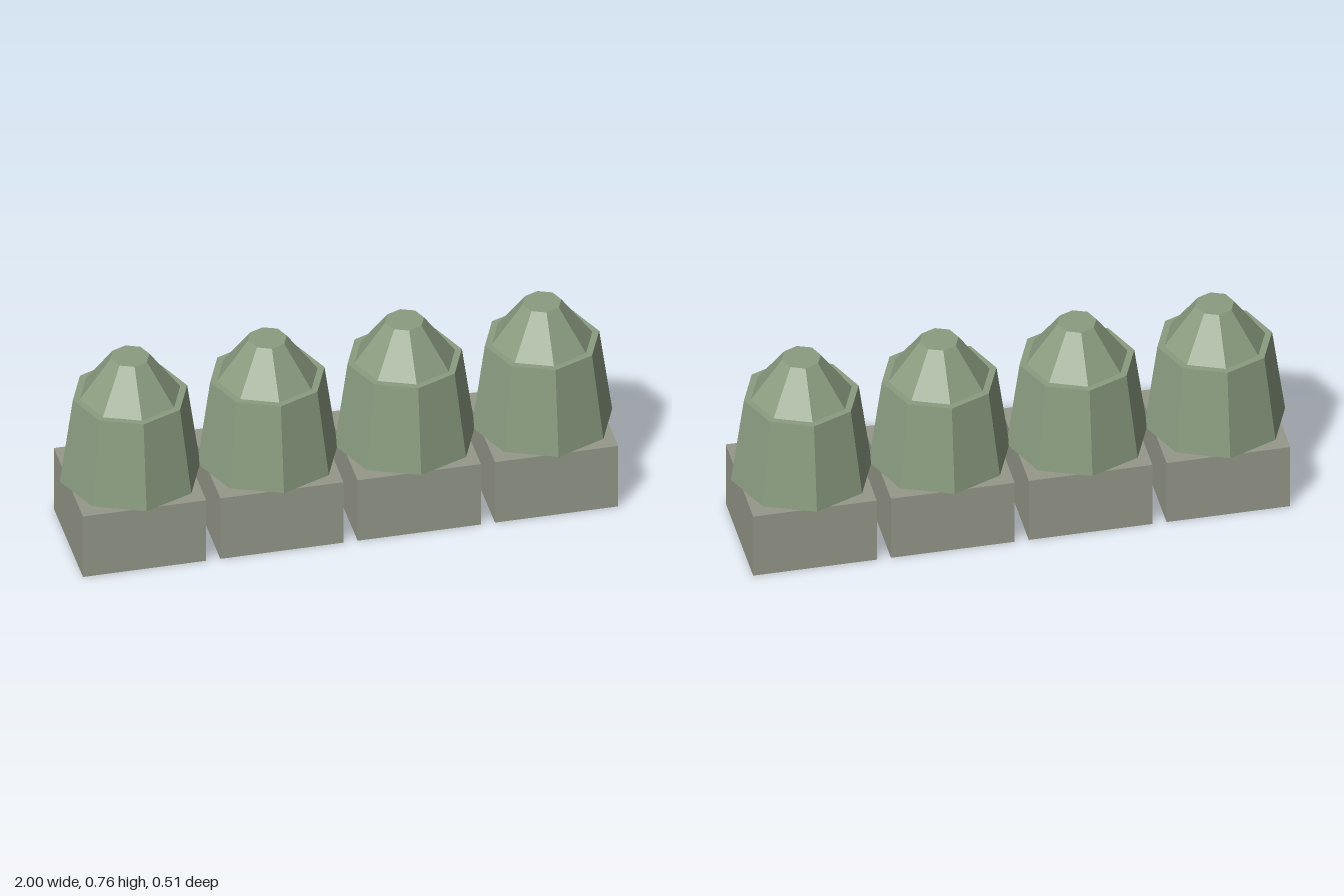
import * as THREE from 'three';

// Row of four octagonal shrubs, each on a square plinth
export function createModel() {
  const model = new THREE.Group();
  model.name = 'shrubRow';

  const stone = new THREE.MeshStandardMaterial({ color: 0x95988a, flatShading: true });
  stone.name = 'grey stone';
  const leaf = new THREE.MeshStandardMaterial({ color: 0x8a9c80, flatShading: true });
  leaf.name = 'sage green';

  const blockSize = 0.446, blockHeight = 0.256;
  const skirtBase = 0.264, shoulder = 0.601, crownTop = 0.756;
  const spacing = 0.497;

  const blockGeo = new THREE.BoxGeometry(blockSize, blockHeight, blockSize);
  const skirtGeo = new THREE.CylinderGeometry(0.207, 0.254, shoulder - skirtBase, 8);
  const crownGeo = new THREE.CylinderGeometry(0.07, 0.182, crownTop - shoulder, 8);

  const add = (parent, name, geometry, material, y) => {
    const mesh = new THREE.Mesh(geometry, material);
    mesh.name = name;
    mesh.position.y = y;
    parent.add(mesh);
  };

  for (let i = 0; i < 4; i++) {
    const unit = new THREE.Group();
    unit.name = `planter${i + 1}`;
    unit.position.x = (i - 1.5) * spacing;
    add(unit, 'plinth', blockGeo, stone, blockHeight / 2);
    add(unit, 'lowerFoliage', skirtGeo, leaf, (skirtBase + shoulder) / 2);
    add(unit, 'upperFoliage', crownGeo, leaf, (shoulder + crownTop) / 2);
    model.add(unit);
  }
  return model;
}
